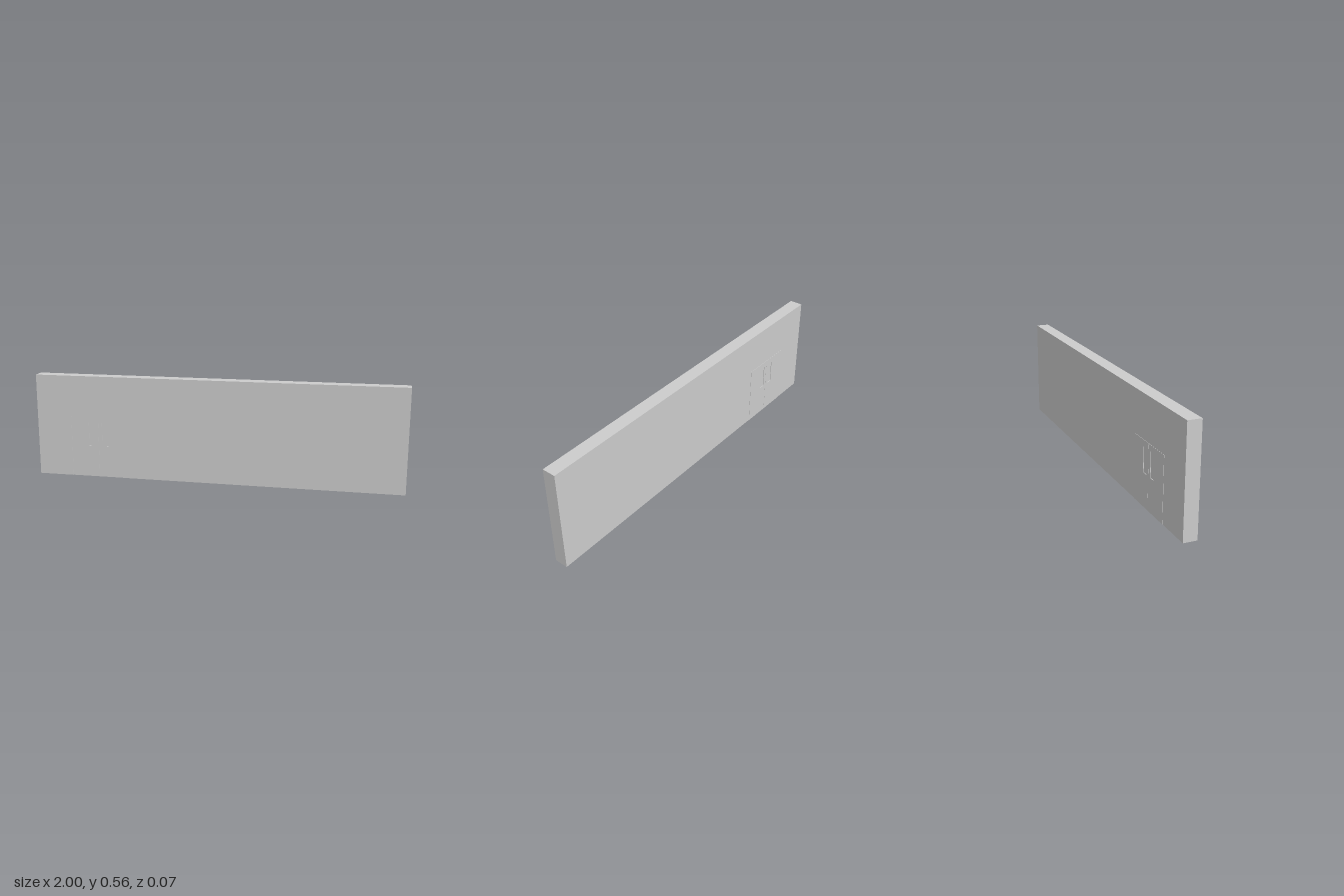
import * as THREE from 'three';

const material = new THREE.MeshStandardMaterial({ color: 0xcccccc, flatShading: true });
const DOOR = { left: -0.805, right: -0.497, height: 0.337 };
const MIDDLE = (DOOR.left + DOOR.right) / 2;

function outline(points) {
  return new THREE.Shape(points.map(([x, y]) => new THREE.Vector2(x, y)));
}

function rectangle(x0, y0, x1, y1) {
  return outline([[x0, y0], [x1, y0], [x1, y1], [x0, y1]]);
}

// Flat outline given thickness between two z planes
function slab(name, shape, z0, z1) {
  const geometry = new THREE.ExtrudeGeometry(shape, { depth: z1 - z0, bevelEnabled: false });
  geometry.translate(0, 0, z0);
  const mesh = new THREE.Mesh(geometry, material);
  mesh.name = name;
  return mesh;
}

// One door skin: two leaves, each with a narrow recessed window
function doorSkin(name, z0, z1) {
  const skin = new THREE.Group();
  skin.name = name;
  const thickness = z1 - z0;
  for (const side of [-1, 1]) {
    const inner = MIDDLE + side * 0.0005;
    const outer = side < 0 ? DOOR.left : DOOR.right;
    const leaf = rectangle(Math.min(inner, outer), 0, Math.max(inner, outer), DOOR.height);
    const near = MIDDLE + side * 0.02;
    const far = MIDDLE + side * 0.055;
    const window = [Math.min(near, far), 0.175, Math.max(near, far), 0.305];
    leaf.holes.push(rectangle(...window));
    skin.add(slab('doorLeaf', leaf, z0, z1));
    skin.add(slab('windowPane', rectangle(...window), z0 + thickness * 0.45, z1 - thickness * 0.45));
  }
  return skin;
}

export function createModel() {
  const model = new THREE.Group();
  model.name = 'wallWithDoubleDoor';

  // Wall with a doorway cut up from its lower edge
  const wall = outline([
    [-1, 0], [DOOR.left, 0], [DOOR.left, DOOR.height], [DOOR.right, DOOR.height],
    [DOOR.right, 0], [1, 0], [1, 0.56], [-1, 0.56],
  ]);
  model.add(slab('wall', wall, -0.036, 0.036));

  // Hollow double door: front skin slightly sunk, back skin slightly proud
  model.add(doorSkin('frontDoor', 0.027, 0.034));
  model.add(doorSkin('backDoor', -0.0375, -0.0305));
  return model;
}
